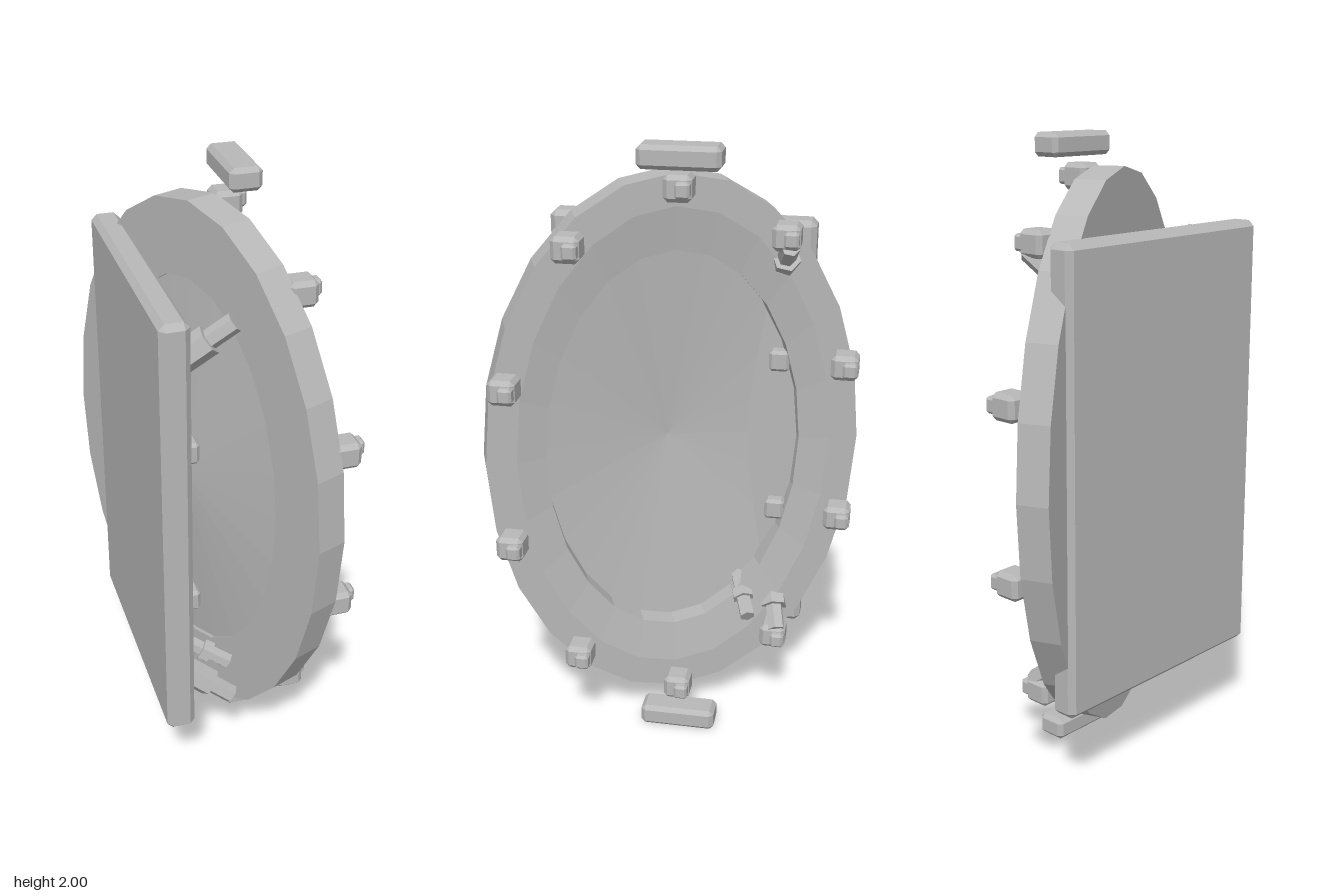
import * as THREE from 'three';
import { ConvexGeometry } from 'three/addons/geometries/ConvexGeometry.js';

const grey = new THREE.MeshStandardMaterial({ color: 0xb8b8b8, flatShading: true, side: THREE.DoubleSide });
grey.name = 'grey';

// Box with all edges chamfered by c
function chamferBox(w, h, d, c) {
  const pts = [];
  for (const x of [-w / 2, w / 2]) for (const y of [-h / 2, h / 2]) for (const z of [-d / 2, d / 2]) {
    const ix = x - Math.sign(x) * c, iy = y - Math.sign(y) * c, iz = z - Math.sign(z) * c;
    pts.push(new THREE.Vector3(x, iy, iz), new THREE.Vector3(ix, y, iz), new THREE.Vector3(ix, iy, z));
  }
  return new ConvexGeometry(pts);
}

// Skin of elliptical loops [halfWidth, halfHeight, depth] joined in order
function ellipseLoft(loops, sides) {
  const pos = [], index = [];
  for (const [rx, ry, d] of loops) {
    for (let i = 0; i < sides; i++) {
      const a = (i / sides) * Math.PI * 2;
      pos.push(rx * Math.cos(a), ry * Math.sin(a), d);
    }
  }
  for (let j = 0; j < loops.length - 1; j++) {
    for (let i = 0; i < sides; i++) {
      const n = (i + 1) % sides, p = j * sides, q = p + sides;
      index.push(p + i, p + n, q + n, p + i, q + n, q + i);
    }
  }
  const g = new THREE.BufferGeometry();
  g.setAttribute('position', new THREE.Float32BufferAttribute(pos, 3));
  g.setIndex(index);
  const flat = g.toNonIndexed();
  flat.computeVertexNormals();
  return flat;
}

export function createModel() {
  const model = new THREE.Group();
  const add = (name, geometry, x = 0, y = 0, z = 0, parent = model) => {
    const m = new THREE.Mesh(geometry, grey);
    m.name = name;
    m.position.set(x, y, z);
    parent.add(m);
    return m;
  };

  // Hexagonal rod between two points
  const rod = (name, a, b, r) => {
    const dir = b.clone().sub(a);
    const m = add(name, new THREE.CylinderGeometry(r, r, dir.length(), 6));
    m.position.copy(a).add(b).multiplyScalar(0.5);
    m.quaternion.setFromUnitVectors(new THREE.Vector3(0, 1, 0), dir.normalize());
  };

  // Mounting plate
  add('mountingPlate', chamferBox(0.09, 1.44, 0.86, 0.018), -0.235, 1, 0);

  // Swung ring with its shallow dish
  const angle = THREE.MathUtils.degToRad(112);
  const hatch = new THREE.Group();
  hatch.name = 'hatch';
  hatch.position.set(-0.0375, 1, -0.004);
  hatch.rotation.y = angle;
  model.add(hatch);
  add('ring', ellipseLoft([
    [0.612, 0.9, -0.05], [0.612, 0.9, 0.05], [0.515, 0.8, 0.05],
    [0.418, 0.66, 0.03], [0.418, 0.66, -0.05], [0.612, 0.9, -0.05],
  ], 24), 0, 0, 0, hatch);
  add('dish', ellipseLoft([[0.42, 0.662, -0.037], [0.0005, 0.0005, -0.09]], 24), 0, 0, 0, hatch);

  // Ten clamps round the ring, each with a small knob
  const clampGeo = chamferBox(0.09, 0.082, 0.088, 0.014);
  const knobGeo = chamferBox(0.05, 0.05, 0.046, 0.008);
  for (let i = 0; i < 10; i++) {
    const a = (i / 10) * Math.PI * 2;
    const p = new THREE.Vector3(0.573 * Math.sin(a), 0.867 * Math.cos(a), 0.089)
      .applyAxisAngle(new THREE.Vector3(0, 1, 0), angle).add(hatch.position);
    add('clamp', clampGeo, p.x, p.y, p.z);
    add('clampKnob', knobGeo, p.x + 0.042, p.y, p.z - 0.018);
  }

  // Hinge bars above and below
  const barGeo = chamferBox(0.1, 0.072, 0.252, 0.014);
  add('upperBar', barGeo, 0.075, 1.964, -0.047);
  add('lowerBar', barGeo, 0.075, 0.036, -0.047);

  const studGeo = chamferBox(0.06, 0.07, 0.066, 0.01);
  for (const s of [-1, 1]) {
    for (const v of [-1, 1]) {
      // Plate studs
      add('plateStud', studGeo, -0.18, 1 + v * 0.267, s * 0.33);
      // Corner pegs: thick socket and thinner pin
      const base = new THREE.Vector3(-0.2, 1 + v * 0.56, s * 0.325);
      const tip = new THREE.Vector3(-0.05, 1 + v * 0.675, s * 0.364);
      rod('pegSocket', base, base.clone().lerp(tip, 0.55), 0.046);
      rod('pegPin', base, tip, 0.03);
    }
    // Extra lower pegs with a collar
    const base = new THREE.Vector3(-0.2, 0.48, s * 0.2);
    const tip = new THREE.Vector3(-0.03, 0.38, s * 0.265);
    rod('lowerPeg', base, tip, 0.026);
    rod('lowerPegCollar', base.clone().lerp(tip, 0.5), base.clone().lerp(tip, 0.66), 0.038);
  }

  return model;
}
